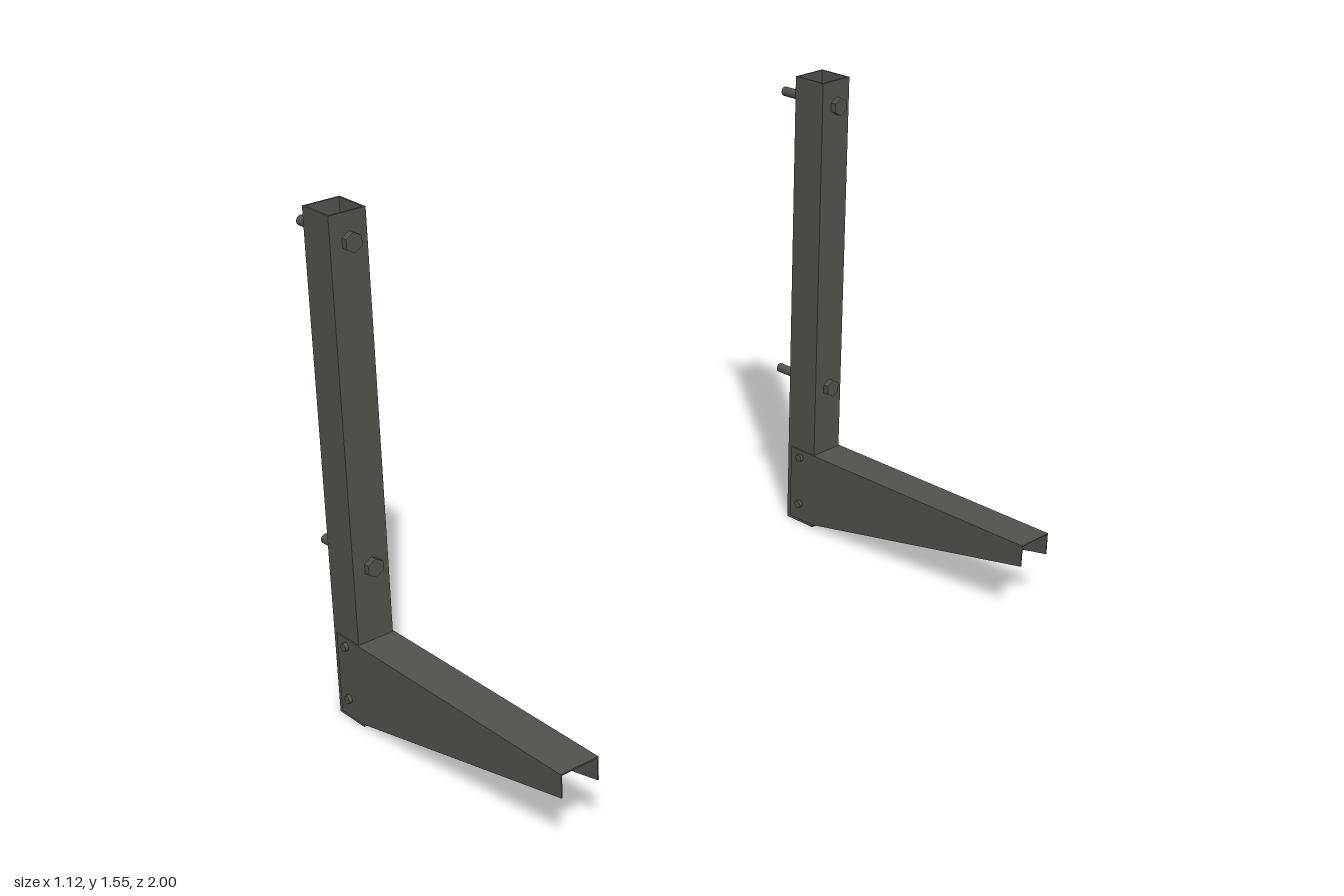
import * as THREE from 'three';

const steel = new THREE.MeshStandardMaterial({ color: 0x52524d });
steel.name = 'dark steel';

const POST_X = -0.395, HALF = 0.0595, SHEET = 0.004, WALL = 0.006;

function addMesh(group, name, geometry, x = 0, y = 0, z = 0) {
  const mesh = new THREE.Mesh(geometry, steel);
  mesh.name = name;
  mesh.position.set(x, y, z);
  group.add(mesh);
  return mesh;
}

function squarePath(path, h) {
  return path.moveTo(-h, -h).lineTo(h, -h).lineTo(h, h).lineTo(-h, h).closePath();
}

function createBracket() {
  const bracket = new THREE.Group();

  // Hollow square post, open at both ends
  const section = squarePath(new THREE.Shape(), HALF);
  section.holes.push(squarePath(new THREE.Path(), HALF - WALL));
  const postGeometry = new THREE.ExtrudeGeometry(section, { depth: 1.55, bevelEnabled: false });
  postGeometry.rotateX(-Math.PI / 2);
  addMesh(bracket, 'post', postGeometry, POST_X);

  // Tapered arm: two side plates wrapping the post, closed on top
  const side = new THREE.Shape([
    [-0.438, 0.011], [-0.335, 0.011], [0.56, 0.198], [0.56, 0.27], [-0.438, 0.27],
  ].map(([x, y]) => new THREE.Vector2(x, y)));
  const sideGeometry = new THREE.ExtrudeGeometry(side, { depth: SHEET, bevelEnabled: false });
  addMesh(bracket, 'armSideFront', sideGeometry, 0, 0, HALF);
  addMesh(bracket, 'armSideBack', sideGeometry, 0, 0, -HALF - SHEET);
  addMesh(bracket, 'armTop', new THREE.BoxGeometry(0.895, SHEET, HALF * 2), 0.1125, 0.27 - SHEET / 2, 0);

  // Wall bolts through the post, with hexagonal heads
  const shank = new THREE.CylinderGeometry(0.015, 0.015, 0.23, 20).rotateZ(Math.PI / 2);
  const head = new THREE.CylinderGeometry(0.029, 0.029, 0.019, 6).toNonIndexed();
  head.rotateY(Math.PI / 2).rotateZ(Math.PI / 2);
  head.computeVertexNormals();
  for (const y of [0.502, 1.467]) {
    addMesh(bracket, 'wallBoltShank', shank, -0.45, y, -0.004);
    addMesh(bracket, 'wallBoltHead', head, -0.3255, y, -0.004);
  }

  // Small fasteners holding the arm to the post
  const rivet = new THREE.CylinderGeometry(0.013, 0.013, 0.012, 16).rotateX(Math.PI / 2);
  for (const y of [0.07, 0.243]) {
    for (const s of [1, -1]) addMesh(bracket, 'armRivet', rivet, POST_X, y, s * 0.068);
  }
  return bracket;
}

export function createModel() {
  const model = new THREE.Group();
  model.name = 'wallBrackets';
  for (const [name, z] of [['leftwardBracket', 0.926], ['rearBracket', -0.926]]) {
    const bracket = createBracket();
    bracket.name = name === 'rearBracket' ? name : 'frontBracket';
    bracket.position.z = z;
    model.add(bracket);
  }
  return model;
}
